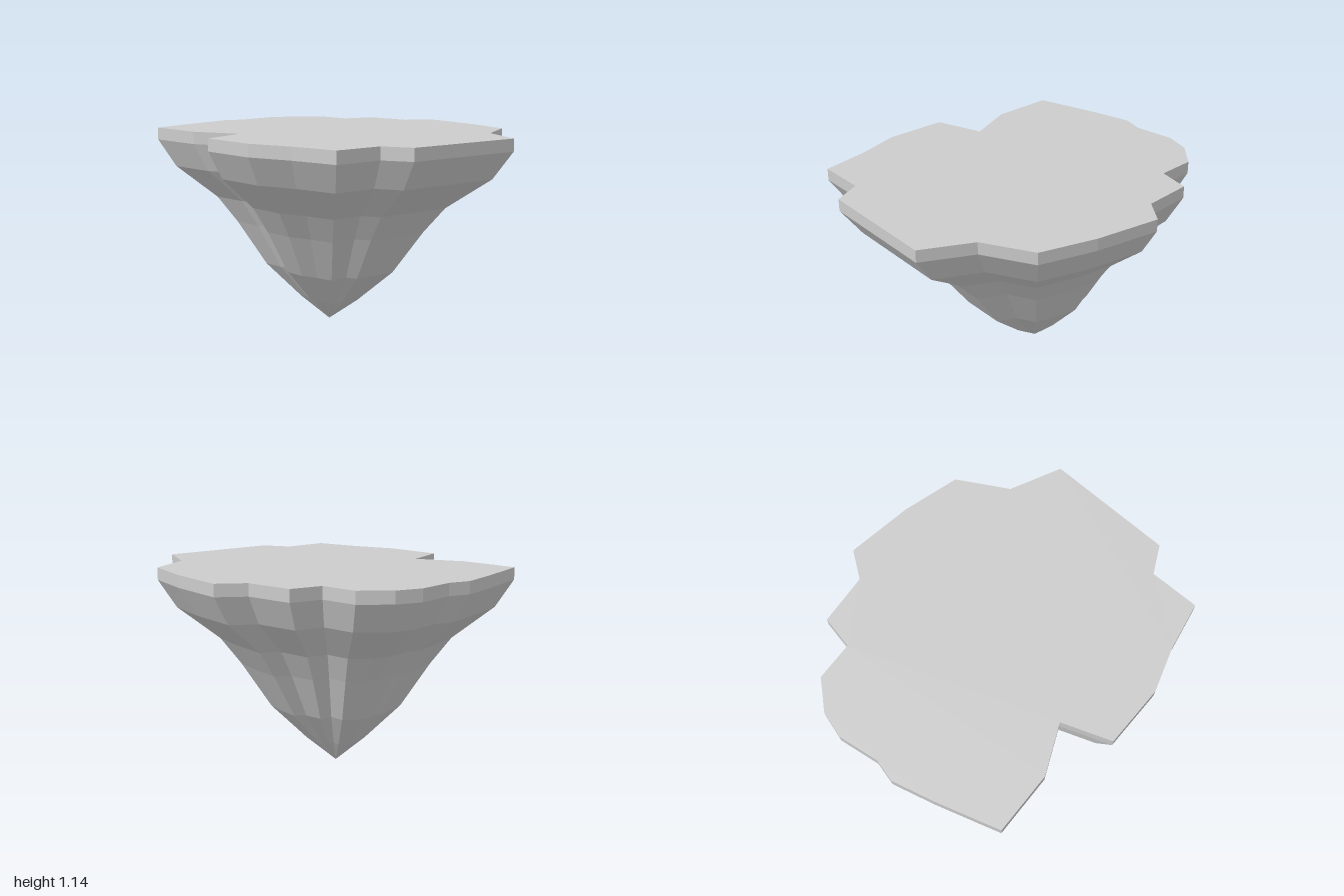
import * as THREE from 'three';

// Rim outline seen from above, as [x, z], running clockwise
const OUTLINE = [
  [-0.24, -0.88], [0.14, -0.865], [0.47, -0.81], [0.65, -0.55], [0.945, -0.445],
  [0.995, 0.275], [0.845, 0.37], [0.87, 0.655], [0.6, 0.735], [0.355, 0.84],
  [0, 0.875], [-0.125, 0.61], [-0.385, 0.76], [-0.74, 0.805], [-0.88, 0.465],
  [-0.965, 0.23], [-0.945, 0.1], [-1, -0.13], [-0.97, -0.285], [-0.855, -0.445],
  [-0.635, -0.48], [-0.615, -0.67], [-0.33, -0.725],
];
const APEX = [-0.115, 0.014];
const RIM_Y = 1.07, TOP_Y = 1.14;

// Rings of the hanging rock: [height, scale of the outline about the apex]
const RINGS = [[0, 0], [0.135, 0.168], [0.33, 0.372], [0.583, 0.54], [0.732, 0.657], [0.913, 0.897], [RIM_Y, 1]];

// Flat-sided wall joining scaled copies of the outline
function wallGeometry(rings) {
  const pos = [];
  const point = ([y, s], i) => {
    const p = OUTLINE[i % OUTLINE.length];
    return [APEX[0] + (p[0] - APEX[0]) * s, y, APEX[1] + (p[1] - APEX[1]) * s];
  };
  for (let r = 0; r < rings.length - 1; r++) {
    const low = rings[r], high = rings[r + 1];
    for (let i = 0; i < OUTLINE.length; i++) {
      const a = point(low, i), b = point(low, i + 1);
      const c = point(high, i), d = point(high, i + 1);
      if (low[1] > 0) pos.push(...b, ...a, ...c);
      pos.push(...b, ...c, ...d);
    }
  }
  const geo = new THREE.BufferGeometry();
  geo.setAttribute('position', new THREE.Float32BufferAttribute(pos, 3));
  geo.computeVertexNormals();
  return geo;
}

export function createModel() {
  const group = new THREE.Group();
  group.name = 'floatingIsland';
  const material = new THREE.MeshStandardMaterial({ color: 0xcccccc, flatShading: true });
  const add = (name, geometry) => {
    const mesh = new THREE.Mesh(geometry, material);
    mesh.name = name;
    group.add(mesh);
  };

  // Tapering rock underside
  add('rockUnderside', wallGeometry(RINGS));

  // Upright band around the edge
  add('groundEdge', wallGeometry([[RIM_Y, 1], [TOP_Y, 1]]));

  // Flat ground on top
  const shape = new THREE.Shape(OUTLINE.map(([x, z]) => new THREE.Vector2(x, -z)));
  add('groundTop', new THREE.ShapeGeometry(shape).rotateX(-Math.PI / 2).translate(0, TOP_Y, 0));

  return group;
}
